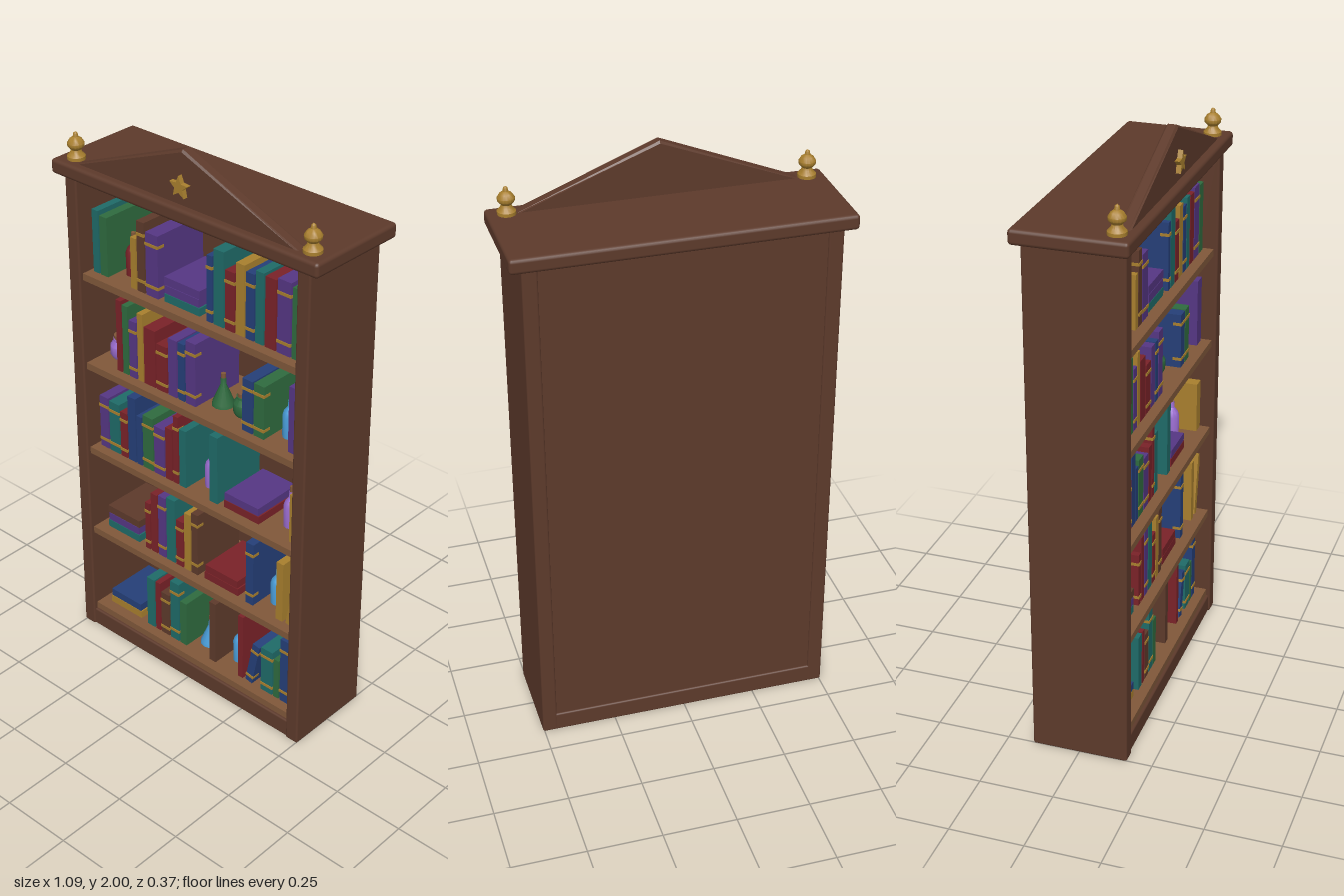
import * as THREE from 'three';
import { toCreasedNormals } from 'three/addons/utils/BufferGeometryUtils.js';
import { RoundedBoxGeometry } from 'three/addons/geometries/RoundedBoxGeometry.js';

const mat = (name, color) => {
  const m = new THREE.MeshStandardMaterial({ color });
  m.name = name;
  return m;
};

export function createModel() {
  const model = new THREE.Group();
  model.name = 'bookcase';

  const W = mat('dark wood', 0x5d3a2b);
  const S = mat('shelf wood', 0x80583a);
  const A = mat('gold', 0xa87f2e);
  const R = mat('red', 0x7a2228);
  const G = mat('green', 0x2f6b3f);
  const N = mat('navy', 0x253f78);
  const T = mat('teal', 0x1f6b68);
  const P = mat('purple', 0x553683);
  const L = mat('light blue', 0x4a9fdc);
  const V = mat('lilac', 0x9a6cd0);

  const add = (parent, name, geometry, material, x = 0, y = 0, z = 0) => {
    const mesh = new THREE.Mesh(geometry, material);
    mesh.name = name;
    mesh.position.set(x, y, z);
    parent.add(mesh);
    return mesh;
  };
  const box = (w, h, d) => new THREE.BoxGeometry(w, h, d);
  const rounded = (w, h, d, r) => new RoundedBoxGeometry(w, h, d, 2, r);
  const lathe = (points, sides = 12) => toCreasedNormals(
    new THREE.LatheGeometry(points.map(([x, y]) => new THREE.Vector2(x, y)), sides), 0.7);

  // Carcass
  for (const s of [-1, 1]) {
    add(model, 'sidePanel', rounded(0.05, 1.78, 0.325, 0.007), W, s * 0.48, 0.89, 0.0025);
  }
  add(model, 'backPanel', box(0.93, 1.76, 0.02), W, 0, 0.89, -0.143);
  add(model, 'plinth', rounded(0.93, 0.066, 0.318, 0.006), W, 0, 0.033, 0);
  add(model, 'topSlab', rounded(1.09, 0.05, 0.37, 0.012), W, 0, 1.795, 0);

  // Shelves
  const shelfTop = i => 0.092 + 0.3347 * i;
  for (let i = 0; i < 5; i++) {
    add(model, 'shelf', box(0.92, 0.025, 0.283), S, 0, shelfTop(i) - 0.0125, 0.0085);
  }

  // Pediment with a star
  const gable = new THREE.Shape([[-0.44, 1.822], [0.44, 1.822], [0, 1.993]]
    .map(([x, y]) => new THREE.Vector2(x, y)));
  add(model, 'pediment', new THREE.ExtrudeGeometry(gable, {
    depth: 0.026, bevelEnabled: true, bevelThickness: 0.007, bevelSize: 0.007, bevelSegments: 1,
  }), W, 0, 0, 0.127);
  const starPoints = [];
  for (let i = 0; i < 10; i++) {
    const r = i % 2 ? 0.017 : 0.038, a = Math.PI / 2 + i * Math.PI / 5;
    starPoints.push(new THREE.Vector2(r * Math.cos(a), r * Math.sin(a)));
  }
  add(model, 'star', new THREE.ExtrudeGeometry(new THREE.Shape(starPoints), {
    depth: 0.016, bevelEnabled: false,
  }), A, 0, 1.885, 0.16);

  // Finials
  const finial = lathe([[0, 0], [0.03, 0], [0.03, 0.013], [0.019, 0.025], [0.016, 0.034],
    [0.027, 0.046], [0.028, 0.056], [0.02, 0.069], [0.009, 0.077], [0.007, 0.088], [0, 0.094]], 16);
  for (const s of [-1, 1]) add(model, 'finial', finial, A, s * 0.483, 1.818, 0.13);

  // Upright book standing on its lower right corner, leaning right by tilt
  const book = (shelf, x, [material, w, h, banded, tilt = 0]) => {
    const g = new THREE.Group();
    g.name = 'book';
    g.position.set(x + w, shelfTop(shelf), 0.01);
    g.rotation.z = -tilt;
    add(g, 'cover', box(w, h, 0.21), material, -w / 2, h / 2, 0);
    if (banded) {
      for (const f of [0.16, 0.82]) {
        add(g, 'spineBand', box(w + 0.003, 0.01, 0.03), A, -w / 2, h * f, 0.0925);
      }
    }
    model.add(g);
  };
  // Row of books side by side: [material, width, height, banded, tilt]
  const row = (shelf, x, books) => {
    for (const b of books) {
      book(shelf, x, b);
      x += b[1] + 0.006;
    }
  };
  // Lying books, from the bottom up
  const stack = (shelf, x, materials) => materials.forEach((m, i) => {
    const h = 0.028;
    add(model, 'lyingBook', box(0.15 - 0.006 * (i % 2), h, 0.19), m,
      x, shelfTop(shelf) + 0.03 * i + h / 2, 0.015);
  });

  // Glassware: body profile, then the stopper's radius, bottom and height
  const vessels = {
    bottle: [[[0, 0], [0.026, 0], [0.027, 0.075], [0.022, 0.092], [0.01, 0.108],
      [0.009, 0.13], [0, 0.13]], 0.007, 0.13, 0.02],
    flask: [[[0, 0], [0.038, 0], [0.036, 0.012], [0.01, 0.075], [0.009, 0.1], [0, 0.1]],
      0.008, 0.1, 0.016],
    jar: [[[0, 0], [0.03, 0], [0.038, 0.015], [0.038, 0.045], [0.027, 0.062],
      [0.027, 0.07], [0, 0.07]], 0.024, 0.07, 0.013],
  };
  const vessel = (kind, shelf, x, material) => {
    const [profile, r, y, h] = vessels[kind];
    add(model, kind, lathe(profile), material, x, shelfTop(shelf), 0.04);
    add(model, 'stopper', new THREE.CylinderGeometry(r, r, h, 12), S,
      x, shelfTop(shelf) + y + h / 2, 0.04);
  };

  // Top shelf
  row(4, -0.44, [[T, 0.027, 0.223], [G, 0.032, 0.21]]);
  vessel('bottle', 4, -0.33, R);
  row(4, -0.27, [[A, 0.023, 0.18], [W, 0.032, 0.247, 1], [P, 0.053, 0.22, 1]]);
  stack(4, -0.053, [T, P, P]);
  row(4, 0.057, [[N, 0.022, 0.23, 1], [T, 0.042, 0.26], [R, 0.038, 0.205, 1], [A, 0.034, 0.245],
    [N, 0.033, 0.228, 1], [T, 0.032, 0.245], [R, 0.042, 0.24], [P, 0.052, 0.25, 1], [G, 0.04, 0.24]]);

  // Fourth shelf
  vessel('jar', 3, -0.4, V);
  row(3, -0.345, [[R, 0.022, 0.265], [G, 0.024, 0.255], [P, 0.032, 0.21, 1], [A, 0.023, 0.25],
    [R, 0.05, 0.21], [R, 0.046, 0.17, 1], [P, 0.037, 0.21], [N, 0.028, 0.21, 1], [P, 0.042, 0.23, 1]]);
  vessel('flask', 3, 0.06, G);
  vessel('jar', 3, 0.151, G);
  row(3, 0.206, [[N, 0.042, 0.19, 1], [G, 0.042, 0.19, 1]]);
  vessel('bottle', 3, 0.342, L);
  row(3, 0.395, [[P, 0.047, 0.235]]);

  // Middle shelf
  row(2, -0.437, [[P, 0.039, 0.2, 1], [T, 0.046, 0.195, 1], [R, 0.03, 0.175, 1], [N, 0.035, 0.25],
    [N, 0.022, 0.19], [G, 0.046, 0.205, 1], [P, 0.046, 0.185, 1], [R, 0.03, 0.2],
    [R, 0.021, 0.26, 1], [T, 0.029, 0.22]]);
  vessel('bottle', 2, 0.013, V);
  row(2, 0.066, [[T, 0.035, 0.255]]);
  stack(2, 0.201, [R, P]);
  vessel('bottle', 2, 0.355, V);
  row(2, 0.408, [[A, 0.042, 0.18]]);

  // Second shelf
  stack(1, -0.344, [T, P, W]);
  row(1, -0.233, [[R, 0.022, 0.19, 1], [R, 0.028, 0.24], [P, 0.033, 0.245, 1], [T, 0.038, 0.255],
    [R, 0.032, 0.185, 1], [A, 0.027, 0.23], [W, 0.029, 0.245, 1]]);
  stack(1, 0.114, [R, R]);
  row(1, 0.228, [[N, 0.032, 0.245, 1]]);
  vessel('bottle', 1, 0.307, L);
  row(1, 0.36, [[A, 0.028, 0.23]]);
  row(1, 0.402, [[A, 0.023, 0.225, 0, 0.17]]);

  // Bottom shelf
  stack(0, -0.344, [A, N]);
  row(0, -0.233, [[T, 0.035, 0.205], [R, 0.022, 0.205], [W, 0.038, 0.175, 1], [T, 0.04, 0.245, 1],
    [G, 0.03, 0.18]]);
  vessel('flask', 0, 0.005, L);
  row(0, 0.064, [[W, 0.029, 0.25]]);
  vessel('bottle', 0, 0.143, L);
  row(0, 0.196, [[R, 0.022, 0.26]]);
  row(0, 0.23, [[N, 0.03, 0.172, 1, 0.19]]);
  row(0, 0.3, [[T, 0.05, 0.18, 1], [G, 0.022, 0.16], [N, 0.035, 0.26, 1]]);

  return model;
}
